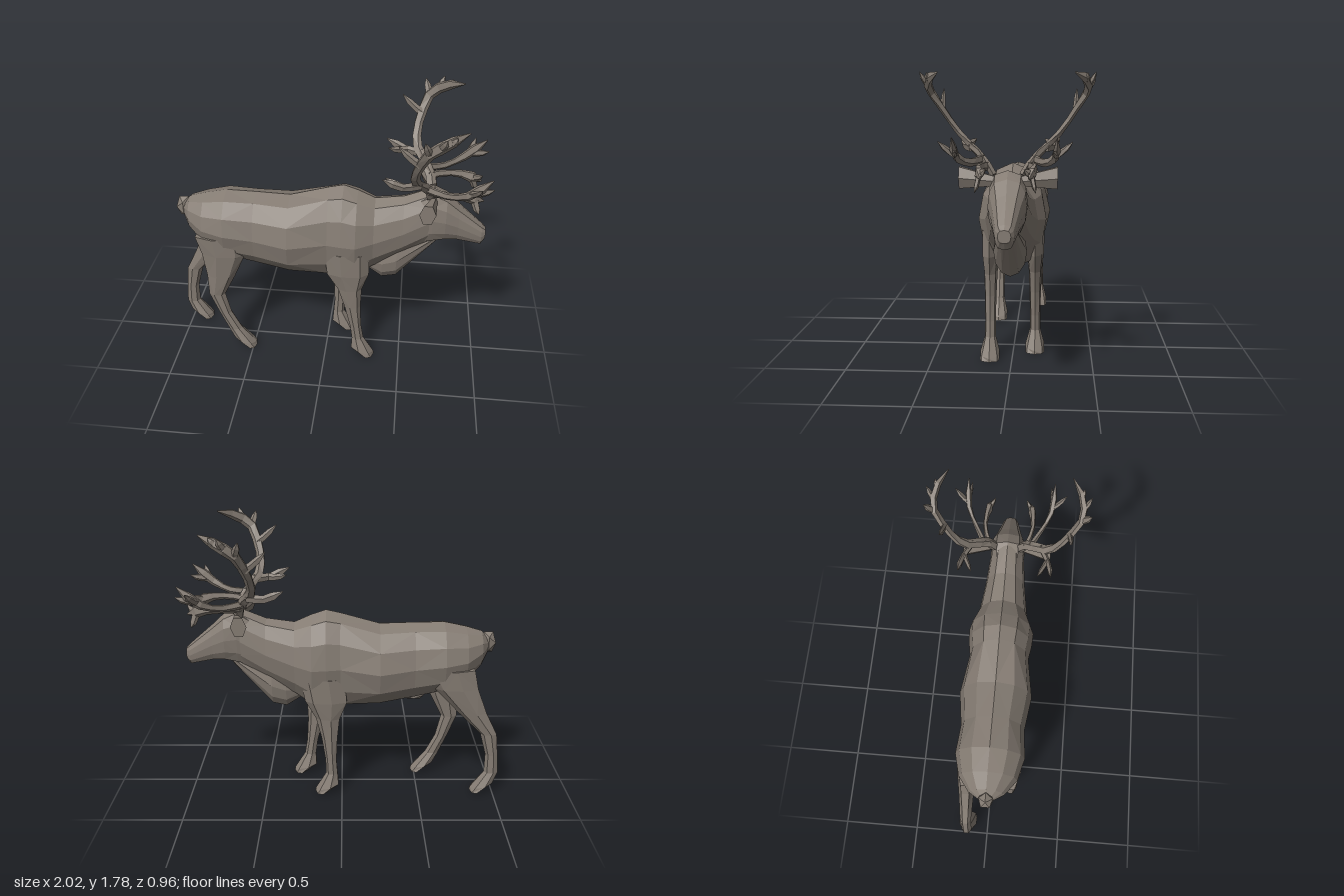
import * as THREE from 'three';

const hide = new THREE.MeshStandardMaterial({ color: 0x857c73, flatShading: true });
hide.name = 'taupe hide';

// Skin a closed solid over a list of rings with equal point counts
function loft(rings) {
  const tris = [];
  const n = rings[0].length;
  for (let i = 0; i < rings.length - 1; i++) {
    const a = rings[i], b = rings[i + 1];
    for (let j = 0; j < n; j++) {
      const k = (j + 1) % n;
      // alternate the diagonal for irregular facets
      if ((i + j) % 2) tris.push([a[j], a[k], b[k]], [a[j], b[k], b[j]]);
      else tris.push([a[j], a[k], b[j]], [a[k], b[k], b[j]]);
    }
  }
  const first = rings[0], last = rings[rings.length - 1];
  for (let j = 1; j < n - 1; j++) {
    tris.push([first[0], first[j + 1], first[j]], [last[0], last[j], last[j + 1]]);
  }
  // turn every face outward, judged by the enclosed volume
  let volume = 0;
  for (const [p, q, r] of tris) {
    volume += p.clone().sub(first[0]).dot(q.clone().sub(first[0]).cross(r.clone().sub(first[0])));
  }
  const points = tris.flatMap(([p, q, r]) => (volume < 0 ? [p, r, q] : [p, q, r]));
  const geometry = new THREE.BufferGeometry().setFromPoints(points);
  geometry.computeVertexNormals();
  return geometry;
}

// One point per side of a polygon, placed by a rule of cosine and sine
function ring(sides, place) {
  return Array.from({ length: sides }, (_, i) => {
    const a = (i / sides) * Math.PI * 2;
    return new THREE.Vector3(...place(Math.cos(a), Math.sin(a)));
  });
}

// Upright sections [x, bottom, top, half width]; a lower power makes them boxier
function trunk(sections, power = 1) {
  return loft(sections.map(([x, bottom, top, w]) => ring(12, (c, s) => [
    x,
    (bottom + top) / 2 + c * (top - bottom) / 2,
    Math.sign(s) * Math.abs(s) ** power * w,
  ])));
}

// Leg from stations [height, centre x, half depth]; swing moves the foot along x
function leg(stations, swing, side) {
  return loft(stations.map(([y, x, depth]) => {
    const shift = swing * THREE.MathUtils.clamp((0.88 - y) / 0.75, 0, 1);
    const width = y < 0.1 ? 0.062 : Math.min(0.06, 0.026 + 0.22 * depth);
    const tilt = y > 0.02 && y < 0.1 ? 0.02 : 0;
    return ring(7, (c, s) => [x + shift + c * depth, y - c * tilt, side * 0.14 + s * width]);
  }));
}

// Flattened tapering branch along a curve, swelling into a palm near its end
function branch(curve, steps, radius, palm) {
  return loft(Array.from({ length: steps + 1 }, (_, i) => {
    const t = i / steps;
    const swell = palm * Math.max(0, 1 - Math.abs(t - 0.8) / 0.3);
    const r = (radius * (1 - 0.3 * t) + swell) * (i === steps ? 0.15 : 1);
    const center = curve.getPoint(t);
    const along = curve.getTangent(t);
    const wide = along.clone().cross(new THREE.Vector3(0, 0, 1)).normalize();
    const thin = along.clone().cross(wide);
    return ring(5, (c, s) => center.clone()
      .addScaledVector(wide, c * r).addScaledVector(thin, s * r * 0.6).toArray());
  }));
}

// Antler branches: path points, then tines as [place on path, tip x, y, z]
const BEAM = {
  name: 'beam', steps: 10, radius: 0.034, palm: 0.012,
  path: [[0.64, 1.22, 0.08], [0.62, 1.3, 0.13], [0.545, 1.39, 0.23], [0.53, 1.47, 0.3],
    [0.555, 1.58, 0.37], [0.6, 1.68, 0.43], [0.69, 1.74, 0.43], [0.81, 1.782, 0.36]],
  tines: [[0.57, 0.43, 1.69, 0.38], [0.71, 0.57, 1.765, 0.48],
    [0.8, 0.685, 1.785, 0.475], [0.88, 0.74, 1.78, 0.43]],
};
const BROW = {
  name: 'browBranch', steps: 5, radius: 0.027, palm: 0.02,
  path: [[0.62, 1.27, 0.11], [0.74, 1.275, 0.15], [0.85, 1.27, 0.145], [0.95, 1.24, 0.125]],
  tines: [[0.8, 0.925, 1.165, 0.16], [0.8, 0.95, 1.29, 0.1]],
};
const FORWARD = {
  name: 'forwardBranch', steps: 6, radius: 0.027, palm: 0.015,
  path: [[0.6, 1.31, 0.14], [0.72, 1.3, 0.2], [0.84, 1.34, 0.26], [0.975, 1.455, 0.27]],
  tines: [[0.72, 0.91, 1.43, 0.35], [0.75, 0.99, 1.385, 0.25]],
};
const REAR = {
  name: 'rearBranch', steps: 4, radius: 0.03, palm: 0.004,
  path: [[0.57, 1.37, 0.21], [0.46, 1.375, 0.262], [0.345, 1.43, 0.28]],
  tines: [[0.4, 0.36, 1.4, 0.2]],
};

export function createModel() {
  const model = new THREE.Group();
  model.name = 'deer';
  const add = (name, geometry, parent = model) => {
    const mesh = new THREE.Mesh(geometry, hide);
    mesh.name = name;
    parent.add(mesh);
    return mesh;
  };

  // Trunk and neck
  add('body', trunk([
    [-0.93, 0.94, 1.05, 0.05], [-0.89, 0.86, 1.09, 0.11], [-0.79, 0.75, 1.12, 0.18],
    [-0.65, 0.69, 1.15, 0.215], [-0.46, 0.64, 1.147, 0.2], [-0.24, 0.6, 1.14, 0.23],
    [0.01, 0.575, 1.21, 0.19], [0.1, 0.555, 1.23, 0.205], [0.19, 0.58, 1.2, 0.21],
    [0.3, 0.66, 1.15, 0.16], [0.48, 0.76, 1.175, 0.13], [0.64, 0.86, 1.24, 0.11],
  ]));

  // Head, flat on top and narrowing to the muzzle
  add('head', trunk([
    [0.58, 0.86, 1.2, 0.1], [0.66, 0.88, 1.25, 0.11], [0.74, 0.9, 1.21, 0.108],
    [0.82, 0.9, 1.135, 0.085], [0.97, 0.87, 1.005, 0.052], [0.995, 0.91, 0.98, 0.035],
  ], 0.6));

  // Hanging mane under the throat
  add('throatMane', trunk([
    [0.26, 0.64, 0.78, 0.06], [0.36, 0.57, 0.85, 0.09], [0.45, 0.59, 0.9, 0.1], [0.7, 0.88, 0.96, 0.05],
  ]));

  // Tail and belly tuft
  add('tail', new THREE.IcosahedronGeometry(1).scale(0.055, 0.08, 0.05)).position.set(-0.935, 1.015, 0);
  add('bellyTuft', new THREE.IcosahedronGeometry(1).scale(0.08, 0.04, 0.04)).position.set(-0.47, 0.65, 0);

  // Legs: the right pair steps back from the left pair
  const front = [[0.82, 0.13, 0.15], [0.66, 0.14, 0.14], [0.54, 0.158, 0.08], [0.4, 0.178, 0.054],
    [0.24, 0.203, 0.038], [0.14, 0.218, 0.04], [0.045, 0.25, 0.08], [0.004, 0.29, 0.042]];
  const hind = [[0.88, -0.685, 0.17], [0.75, -0.67, 0.145], [0.58, -0.695, 0.095], [0.43, -0.73, 0.055],
    [0.28, -0.683, 0.042], [0.15, -0.622, 0.047], [0.055, -0.555, 0.075], [0.012, -0.51, 0.035]];
  add('leftFrontLeg', leg(front, 0, 1));
  add('rightFrontLeg', leg(front, -0.155, -1));
  add('leftHindLeg', leg(hind, 0, 1));
  add('rightHindLeg', leg(hind, -0.375, -1));

  // Ears and antlers, mirrored
  for (const [side, s] of [['left', 1], ['right', -1]]) {
    add(side + 'Ear', loft([0, 0.4, 0.8, 1].map(t => ring(6, (c, h) => [
      0.66 - 0.04 * t + c * (0.02 + 0.03 * t),
      1.19 + 0.015 * t + h * (0.03 + 0.04 * t),
      s * (0.07 + 0.205 * t),
    ]))));

    const antler = new THREE.Group();
    antler.name = side + 'Antler';
    model.add(antler);
    for (const { name, steps, radius, palm, path, tines } of [BEAM, BROW, FORWARD, REAR]) {
      const curve = new THREE.CatmullRomCurve3(path.map(([x, y, z]) => new THREE.Vector3(x, y, s * z)));
      add(name, branch(curve, steps, radius, palm), antler);
      for (const [t, x, y, z] of tines) {
        const root = curve.getPoint(t);
        const tip = new THREE.Vector3(x, y, s * z);
        const bend = root.clone().lerp(tip, 0.5);
        bend.y -= 0.015;
        add('tine', branch(new THREE.QuadraticBezierCurve3(root, bend, tip), 3, 0.026, 0), antler);
      }
    }
  }
  return model;
}
